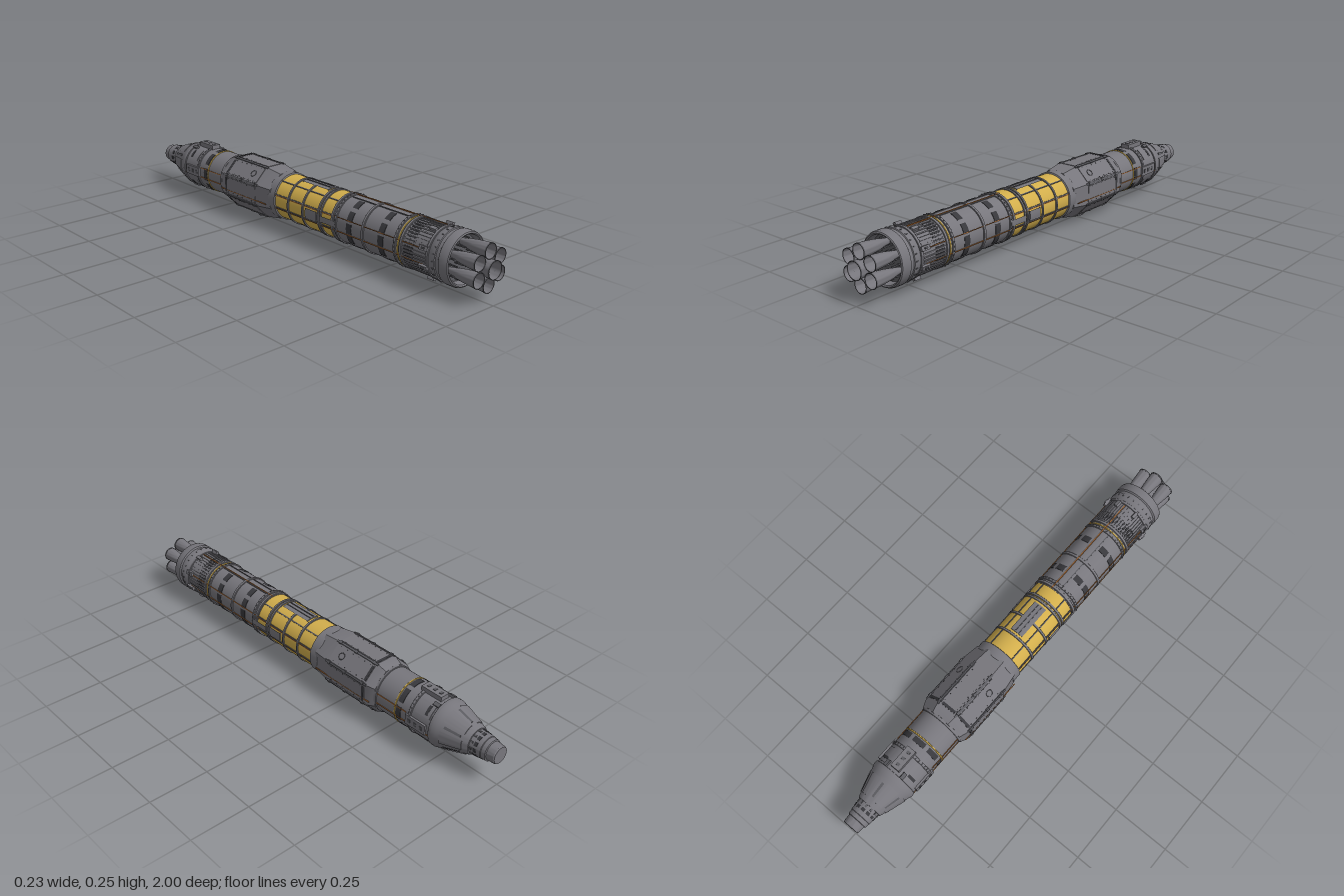
import * as THREE from 'three';
import { toCreasedNormals } from 'three/addons/utils/BufferGeometryUtils.js';

const AXIS = 0.135;
const rad = THREE.MathUtils.degToRad;

export function createModel() {
  const root = new THREE.Group();
  const body = new THREE.Group();
  body.name = 'launchVehicle';
  body.position.y = AXIS;
  root.add(body);

  const material = (name, color, side = THREE.FrontSide) => {
    const m = new THREE.MeshStandardMaterial({ color, side });
    m.name = name;
    return m;
  };
  const hull = material('hull grey', 0x77767c, THREE.DoubleSide);
  const trim = material('trim grey', 0x5b5b60);
  const dark = material('dark panel', 0x38383c, THREE.DoubleSide);
  const gold = material('gold', 0xd2ae4c, THREE.DoubleSide);
  const copper = material('copper pipe', 0x9a602e);
  const glow = material('pale blue', 0xa4c8dc);

  const add = (name, geometry, mat, parent = body) => {
    const mesh = new THREE.Mesh(geometry, mat);
    mesh.name = name;
    parent.add(mesh);
    return mesh;
  };

  // Surface turned around the long axis from [z, radius] points, z increasing on the outside
  const turned = (name, points, mat, segments = 48, start = 0, length = Math.PI * 2, parent = body) => {
    const g = new THREE.LatheGeometry(points.map(([z, r]) => new THREE.Vector2(r, z)), segments, start, length);
    g.rotateX(Math.PI / 2);
    return add(name, toCreasedNormals(g, rad(28)), mat, parent);
  };

  // Raised ring around the body
  const ring = (name, z, width, r, mat = hull) =>
    turned(name, [[z - width / 2, r - 0.012], [z - width / 2, r - 0.001], [z - width / 2 + 0.001, r], [z + width / 2 - 0.001, r], [z + width / 2, r - 0.001], [z + width / 2, r - 0.012]], mat);

  // Thin curved plate; angle in degrees from the top toward +x
  const plate = (name, angle, span, z0, z1, r0, r1, mat, t = 0.002) =>
    turned(name, [[z0, r0 - 0.002], [z0, r0 + t], [z1, r1 + t], [z1, r1 - 0.002]], mat,
      Math.max(2, Math.ceil(span / 7)), Math.PI - rad(angle + span / 2), rad(span));

  // Box standing on the skin, height running outward
  const block = (name, angle, r, z, w, h, d, mat) => {
    const mesh = add(name, new THREE.BoxGeometry(w, h, d), mat);
    const a = rad(angle);
    mesh.position.set(Math.sin(a) * (r + h / 2), Math.cos(a) * (r + h / 2), z);
    mesh.rotation.z = -a;
    return mesh;
  };
  const rail = (name, angle, r, z0, z1, w, h, mat) => block(name, angle, r, (z0 + z1) / 2, w, h, z1 - z0, mat);

  // Main tanks
  turned('lowerTank', [[0.26, 0.099], [0.78, 0.099]], hull);
  turned('goldTank', [[-0.085, 0.097], [0.26, 0.097]], gold);
  turned('upperStage', [[-0.75, 0.095], [-0.45, 0.095]], hull);
  turned('collar', [[-0.13, 0.1], [-0.125, 0.103], [-0.085, 0.103], [-0.082, 0.096]], hull);

  // Rings along the hull
  for (const z of [0.27, 0.29, 0.44, 0.61, 0.64, 0.77]) ring('tankRing', z, 0.012, 0.104);
  for (const z of [0.0, 0.09, 0.185, 0.2]) ring('goldTankRing', z, 0.01, 0.102);
  for (const z of [-0.46, -0.64, -0.745]) ring('upperRing', z, 0.013, 0.1);
  ring('goldStripe', 0.625, 0.006, 0.1015, gold);
  ring('goldStripe', -0.564, 0.006, 0.0975, gold);
  for (const z of [0.29, -0.64, 0.61]) {
    for (let i = 0; i < 36; i++) block('ringBolt', i * 10, z < 0 ? 0.099 : 0.103, z, 0.004, 0.003, 0.005, trim);
  }

  // Dark markings
  for (const a of [-62, -28, 28, 62, 90, -90, 118, -118, 152, -152]) {
    plate('darkBand', a, 24, 0.35, 0.378, 0.099, 0.099, dark);
    plate('darkBand', a, 24, 0.522, 0.55, 0.099, 0.099, dark);
  }
  for (let i = 0; i < 8; i++) plate('upperDarkBand', i * 45, 35, -0.595, -0.572, 0.095, 0.095, dark);

  // Fluted section above the engine skirt
  for (let i = 0; i < 48; i++) {
    rail('flute', i * 7.5, 0.098, 0.648, 0.762, 0.005, 0.004, hull);
    rail('fluteSlot', i * 7.5 + 3.75, 0.098, 0.655, 0.7, 0.0045, 0.0025, dark);
  }

  // Engine skirt with a rolled lip and recessed base
  turned('engineSkirt', [[0.775, 0.099], [0.79, 0.106], [0.81, 0.106], [0.812, 0.102], [0.825, 0.102], [0.83, 0.108],
    [0.86, 0.108], [0.869, 0.105], [0.872, 0.1], [0.868, 0.095], [0.855, 0.092], [0.835, 0.09]], hull);
  turned('engineBase', [[0.837, 0.092], [0.837, 0]], trim);
  for (let i = 0; i < 24; i++) block('skirtBolt', i * 15, 0.105, 0.8, 0.005, 0.003, 0.008, trim);

  // Engines: one in the centre, six around it
  const engine = (x, y, s, exit) => {
    const g = new THREE.Group();
    g.name = 'engine';
    g.position.set(x, y, 0);
    body.add(g);
    const L = exit - 0.84;
    const p = [[0, 0.4], [0.15, 0.5], [0.3, 0.66], [0.5, 0.81], [0.75, 0.93], [1, 1]];
    turned('bell', p.map(([t, r]) => [0.84 + L * t, s * r]), hull, 28, 0, Math.PI * 2, g);
    turned('bellLip', [[exit - 0.005, s * 0.99], [exit - 0.005, s + 0.001], [exit, s + 0.001], [exit, s * 0.95]], trim, 28, 0, Math.PI * 2, g);
    add('injector', new THREE.CircleGeometry(s * 0.34, 20), glow, g).position.z = 0.85;
    for (let i = 0; i < 3; i++) {
      const a = rad(90 + i * 120);
      const b = add('engineStrut', new THREE.BoxGeometry(0.005, 0.005, 0.05), trim, g);
      b.position.set(Math.cos(a) * s * 0.72, Math.sin(a) * s * 0.72, 0.852);
    }
  };
  engine(0, 0, 0.036, 1);
  for (let i = 0; i < 6; i++) {
    const a = rad(30 + i * 60);
    engine(Math.cos(a) * 0.065, Math.sin(a) * 0.065, 0.03, 0.976);
  }

  // Eight-sided payload bay
  turned('payloadBay', [[-0.46, 0.09], [-0.458, 0.105], [-0.425, 0.119], [-0.19, 0.119], [-0.115, 0.107], [-0.112, 0.09]], hull, 8, Math.PI / 8);
  for (let i = 0; i < 8; i++) {
    const a = i * 45;
    block('bayPanel', a, 0.109, -0.307, 0.072, 0.003, 0.21, hull);
    rail('bayCornerRail', a + 22.5, 0.116, -0.42, -0.19, 0.009, 0.005, trim);
    for (const z of [-0.4, -0.3, -0.21]) block('railClamp', a + 22.5, 0.115, z, 0.013, 0.008, 0.013, trim);
    if (a !== 180) block('bayDarkStrip', a, 0.1118, -0.405, 0.066, 0.001, 0.012, dark);
    for (const s of [-1, 1]) {
      for (let k = 0; k < 6; k++) block('panelRivet', a + s * 16, 0.1155, -0.39 + k * 0.033, 0.003, 0.002, 0.004, dark);
    }
  }
  for (const a of [45, -45]) {
    const hatch = add('roundHatch', new THREE.TorusGeometry(0.014, 0.0015, 6, 24), trim);
    hatch.rotation.set(Math.PI / 2, 0, 0);
    hatch.geometry.rotateX(0);
    const holder = new THREE.Group();
    holder.name = 'hatchMount';
    holder.rotation.z = -rad(a);
    hatch.position.set(0, 0.1125, -0.25);
    holder.add(hatch);
    body.add(holder);
  }

  // Docking port under the bay
  const port = new THREE.Group();
  port.name = 'dockingPort';
  port.position.set(0, -AXIS, -0.28);
  body.add(port);
  for (const [r0, r1, h, y] of [[0.032, 0.026, 0.02, 0.017], [0.021, 0.021, 0.007, 0.0045]]) {
    add('portRing', new THREE.CylinderGeometry(r0, r1, h, 28), hull, port).position.y = y;
  }
  for (const x of [-0.014, 0.014]) {
    add('portLatch', new THREE.BoxGeometry(0.008, 0.006, 0.02), trim, port).position.set(x, 0.003, 0);
  }

  // Long pipes and cable ducts
  rail('copperPipe', 8, 0.1, 0.26, 0.76, 0.004, 0.004, copper);
  for (const s of [-1, 1]) {
    for (const a of [72, 105, 172]) {
      rail('copperPipe', s * a, 0.1, 0.26, 0.75, 0.003, 0.003, copper);
      rail('goldTankDuct', s * a, 0.096, -0.085, 0.26, 0.005, 0.004, trim);
      rail('goldTankPipe', s * (a + 3), 0.096, -0.085, 0.26, 0.003, 0.004, copper);
    }
    rail('bayPipe', s * 102, 0.111, -0.44, -0.13, 0.003, 0.004, copper);
    rail('upperPipe', s * 102, 0.095, -0.74, -0.46, 0.003, 0.003, copper);
    rail('upperPipe', s * 76, 0.095, -0.62, -0.46, 0.003, 0.003, copper);
    rail('goldTankDuct', s * 35, 0.096, -0.085, 0.26, 0.005, 0.004, trim);
    rail('tankDuct', s * 10, 0.098, 0.3, 0.62, 0.004, 0.004, trim);
  }

  // Equipment panels on the gold tank
  for (const a of [0, 180]) {
    plate('equipmentPanel', a, 34, 0.015, 0.17, 0.1, 0.1, hull);
    for (const s of [-1, 1]) rail('panelRail', a + s * 5, 0.1, 0.02, 0.165, 0.004, 0.005, trim);
  }
  for (const a of [90, -90]) {
    plate('sideEquipment', a, 24, 0.11, 0.175, 0.099, 0.099, hull, 0.004);
    plate('sideEquipment', a, 14, 0.2, 0.29, 0.102, 0.102, hull, 0.003);
  }

  // Control thruster pods
  for (let i = 0; i < 4; i++) {
    const a = 70 + [0, 40, 180, 220][i];
    block('aftPod', a, 0.098, 0.755, 0.018, 0.014, 0.04, hull);
    block('aftPodNozzle', a, 0.11, 0.755, 0.007, 0.006, 0.014, trim);
  }
  for (const a of [25, -25, 155, -155]) {
    block('topAftPod', a, 0.1, 0.75, 0.014, 0.013, 0.03, hull);
    block('forwardPod', a * 1.0, 0.092, -0.725, 0.016, 0.012, 0.028, trim);
  }

  // Upper stage equipment
  for (const a of [0, 90, -90, 180]) {
    const h = a === 0 ? 0.02 : 0.009;
    block('equipmentBox', a, 0.093, -0.675, 0.042, h, 0.1, hull);
    for (const z of [-0.705, -0.675, -0.645]) block('boxFitting', a, 0.092 + h, z, 0.015, 0.003, 0.012, trim);
  }
  for (let i = 0; i < 4; i++) {
    plate('stageHatch', 45 + i * 90, 34, -0.73, -0.66, 0.095, 0.095, hull, 0.003);
    plate('stageSlot', 45 + i * 90, 24, -0.715, -0.703, 0.098, 0.098, dark, 0.001);
  }

  // Tapered nose, open-ended steps and flat tip
  turned('noseCone', [[-0.893, 0.04], [-0.893, 0.055], [-0.885, 0.059], [-0.77, 0.094], [-0.755, 0.1], [-0.745, 0.1]], hull);
  turned('noseTip', [[-1, 0], [-1, 0.034], [-0.996, 0.037], [-0.965, 0.039], [-0.963, 0.044], [-0.945, 0.045], [-0.943, 0.047], [-0.89, 0.05]], hull);
  for (let i = 0; i < 6; i++) {
    plate('conePanel', i * 60 + 30, 36, -0.87, -0.785, 0.0635, 0.0895, hull, 0.003);
    plate('coneSlot', i * 60, 7, -0.86, -0.795, 0.0665, 0.0865, trim, 0.003);
  }
  for (let i = 0; i < 12; i++) {
    plate('noseSlot', i * 30, 20, -0.925, -0.912, 0.048, 0.0487, dark, 0.0015);
    block('noseBlock', i * 30, 0.046, -0.9, 0.008, 0.006, 0.012, trim);
  }

  return root;
}
